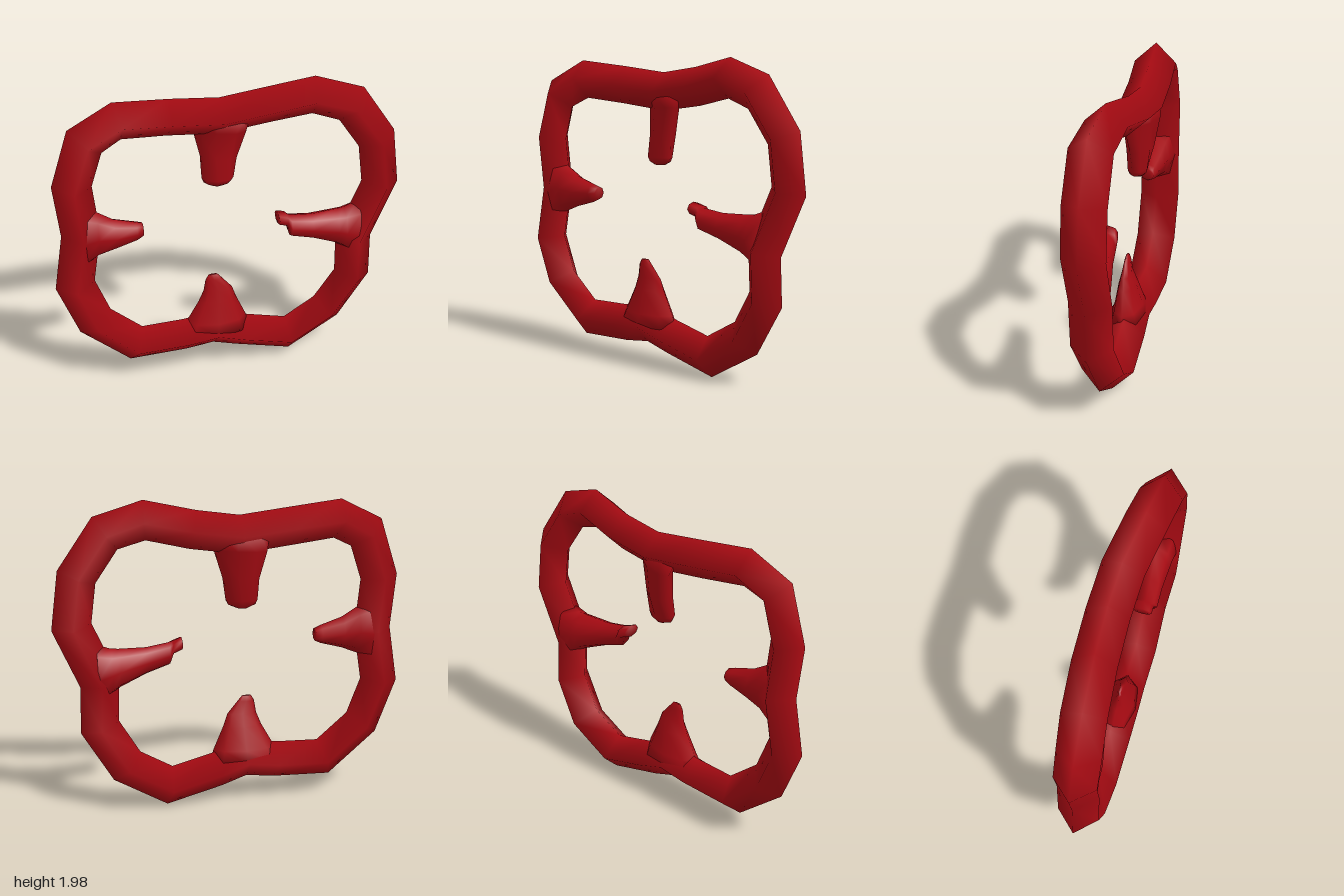
import * as THREE from 'three';

const material = new THREE.MeshStandardMaterial({ color: 0xa50a12 });
const SLOPE = -0.51; // the ring stands in the plane x = SLOPE * z
const NORMAL = new THREE.Vector3(1, 0, -SLOPE).normalize();
const vec = (x, y, z) => new THREE.Vector3(x, y, z);

// Skin a row of sections { c, u, v }: centre and two half axes
function loft(name, sides, sections, closed) {
  const pos = [], index = [], n = sections.length;
  const travel = sections[1].c.clone().sub(sections[0].c);
  const flip = sections[0].u.clone().cross(sections[0].v).dot(travel) < 0 ? -1 : 1;
  for (const { c, u, v } of sections) {
    for (let j = 0; j < sides; j++) {
      const a = (j / sides) * Math.PI * 2;
      const p = c.clone().addScaledVector(u, Math.cos(a)).addScaledVector(v, flip * Math.sin(a));
      pos.push(p.x, p.y, p.z);
    }
  }
  for (let i = 0; i < (closed ? n : n - 1); i++) {
    for (let j = 0; j < sides; j++) {
      const k = (j + 1) % sides, m = ((i + 1) % n) * sides;
      const a = i * sides + j, b = i * sides + k;
      index.push(a, b, m + j, b, m + k, m + j);
    }
  }
  // End caps as fans
  if (!closed) {
    const last = (n - 1) * sides;
    for (let j = 1; j < sides - 1; j++) {
      index.push(0, j + 1, j, last, last + j, last + j + 1);
    }
  }
  const geo = new THREE.BufferGeometry();
  geo.setAttribute('position', new THREE.Float32BufferAttribute(pos, 3));
  geo.setIndex(index);
  geo.computeVertexNormals();
  const mesh = new THREE.Mesh(geo, material);
  mesh.name = name;
  return mesh;
}

// Ring centreline: z, y, sideways offset from the plane
const RING = [
  [0.89, 0.74, 0], [0.79, 0.45, 0], [0.56, 0.23, 0], [0.27, 0.24, 0],
  [0.09, 0.265, 0], [-0.08, 0.205, -0.01], [-0.36, 0.125, -0.015], [-0.61, 0.285, -0.025],
  [-0.745, 0.55, 0], [-0.735, 0.84, 0.01], [-0.885, 1.21, 0], [-0.85, 1.52, 0],
  [-0.685, 1.78, 0.01], [-0.485, 1.855, -0.02], [-0.25, 1.795, -0.08], [0, 1.755, -0.09],
  [0.3, 1.79, -0.07], [0.6, 1.82, -0.03], [0.79, 1.72, 0], [0.87, 1.43, -0.005],
  [0.835, 1.09, -0.01],
];

// Four-sided tube with its edges facing in, out, and to both sides
function ring(inPlane, across) {
  const pts = RING.map(([z, y, dx]) => vec(SLOPE * z + dx, y, z));
  const n = pts.length;
  const sections = pts.map((c, i) => {
    const a = c.clone().sub(pts[(i + n - 1) % n]).normalize();
    const b = pts[(i + 1) % n].clone().sub(c).normalize();
    const t = a.clone().add(b).normalize();
    const u = NORMAL.clone().cross(t).normalize();
    const v = t.clone().cross(u);
    // Mitred joint keeps the tube at full width through each bend
    return { c, u: u.multiplyScalar(inPlane / t.dot(b)), v: v.multiplyScalar(across) };
  });
  return loft('ring', 4, sections, true);
}

// Upright tooth: rows of x, y, z, half width, half thickness, and the
// x/z slope of the wide side
const upright = (name, rows) => loft(name, 8, rows.map(([x, y, z, a, b, slope]) => ({
  c: vec(x, y, z),
  u: vec(slope, 0, 1).setLength(a),
  v: vec(1, 0, -slope).setLength(b),
})));

// Side tooth: rows of x, z, bottom y, top y, half thickness across the ring
const sideways = (name, rows) => loft(name, 8, rows.map(([x, z, lo, hi, d]) =>
  ({ c: vec(x, (lo + hi) / 2, z), u: vec(0, (hi - lo) / 2, 0), v: NORMAL.clone().multiplyScalar(d) })));

export function createModel() {
  const group = new THREE.Group();
  group.name = 'notchedRing';
  group.add(
    ring(0.12, 0.134),
    upright('topTooth', [
      [-0.09, 1.76, 0, 0.19, 0.1, -0.8], [-0.1, 1.66, 0, 0.17, 0.07, -1.3], [-0.095, 1.48, 0.01, 0.115, 0.07, -1.1],
      [-0.085, 1.34, 0.025, 0.1, 0.06, -0.7], [-0.088, 1.31, 0.025, 0.085, 0.05, -0.7],
      [-0.09, 1.29, 0.025, 0.035, 0.03, -0.7],
    ]),
    upright('bottomTooth', [
      [-0.045, 0.26, 0.09, 0.23, 0.12, SLOPE], [-0.04, 0.34, 0.085, 0.2, 0.095, SLOPE],
      [-0.03, 0.49, 0.08, 0.125, 0.06, SLOPE], [-0.025, 0.57, 0.08, 0.095, 0.035, SLOPE],
      [-0.035, 0.65, 0.105, 0.055, 0.02, SLOPE], [-0.037, 0.685, 0.11, 0.03, 0.01, SLOPE],
    ]),
    sideways('frontTooth', [
      [-0.44, 0.845, 0.85, 1.3, 0.12], [-0.385, 0.75, 0.93, 1.24, 0.095], [-0.335, 0.66, 0.97, 1.175, 0.085],
      [-0.275, 0.53, 1.01, 1.13, 0.06], [-0.262, 0.49, 1.03, 1.115, 0.045],
    ]),
    sideways('backTooth', [
      [0.39, -0.755, 0.68, 1.09, 0.12], [0.35, -0.67, 0.76, 1.055, 0.105], [0.33, -0.62, 0.8, 1.05, 0.1],
      [0.265, -0.46, 0.875, 1.045, 0.08], [0.21, -0.325, 0.92, 1.065, 0.075],
      [0.19, -0.31, 0.995, 1.075, 0.068], [0.17, -0.255, 1.015, 1.095, 0.062],
    ]),
  );
  return group;
}
